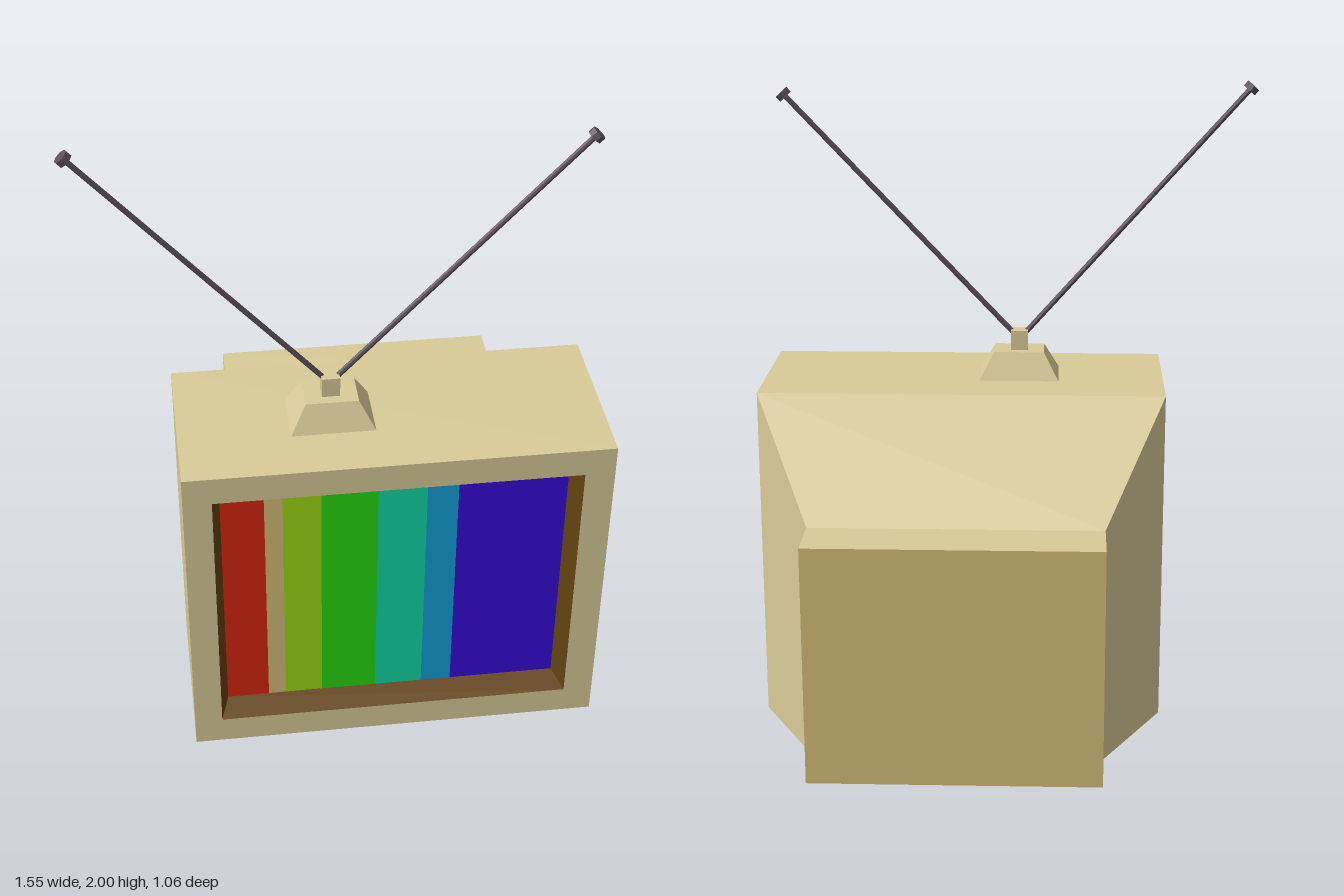
import * as THREE from 'three';

const paint = (name, color) => {
  const m = new THREE.MeshStandardMaterial({ color });
  m.name = name;
  return m;
};

// Rectangular section: x0, x1, y0, y1 at depth z, corners counter-clockwise from +z
const rect = (x0, x1, y0, y1, z) =>
  [[x0, y0, z], [x1, y0, z], [x1, y1, z], [x0, y1, z]];

// Flat-sided skin through sections listed from high z to low z
function loft(sections, capFront = false) {
  const pos = [];
  const quad = (a, b, c, d) => pos.push(...a, ...b, ...c, ...a, ...c, ...d);
  for (let s = 0; s < sections.length - 1; s++) {
    const f = sections[s], b = sections[s + 1];
    for (let i = 0; i < 4; i++) {
      const j = (i + 1) % 4;
      quad(f[i], b[i], b[j], f[j]);
    }
  }
  if (capFront) quad(...sections[0]);
  const g = new THREE.BufferGeometry();
  g.setAttribute('position', new THREE.Float32BufferAttribute(pos, 3));
  g.computeVertexNormals();
  return g;
}

export function createModel() {
  const model = new THREE.Group();
  model.name = 'television';
  const cream = paint('cream plastic', 0xd9cb98);
  const tan = paint('tan', 0xd6bd78);
  const brown = paint('dark brown', 0x634210);
  const metal = paint('dark metal', 0x5a5058);

  const add = (name, geometry, material, parent = model) => {
    const mesh = new THREE.Mesh(geometry, material);
    mesh.name = name;
    parent.add(mesh);
    return mesh;
  };

  // Cabinet: straight front, tapered middle and rear box
  const X0 = -0.5, X1 = 0.77, H = 1.065, Z = 0.528;
  add('cabinet', loft([
    rect(X0, X1, 0, H, Z),
    rect(X0, X1, 0, H, 0),
    rect(-0.312, 0.578, 0, 0.748, -0.35),
    rect(-0.312, 0.578, 0, 0.748, -Z),
  ]), cream);
  const back = add('backPanel', new THREE.PlaneGeometry(0.89, 0.748), tan);
  back.rotation.y = Math.PI;
  back.position.set(0.133, 0.374, -Z);

  // Front face with the screen opening
  const path = (P, x0, x1, y0, y1) =>
    new P([[x0, y0], [x1, y0], [x1, y1], [x0, y1]].map(p => new THREE.Vector2(...p)));
  const face = path(THREE.Shape, X0, X1, 0, H);
  const opening = [-0.415, 0.68, 0.09, 0.975];
  const inner = [-0.39, 0.652, 0.113, 0.953];
  face.holes.push(path(THREE.Path, ...opening));
  add('frontFace', new THREE.ShapeGeometry(face), cream).position.z = Z;

  // Recessed bezel, facing inward
  const zs = Z - 0.075;
  add('bezel', loft([rect(...inner, zs), rect(...opening, Z)]), brown);

  // Coloured screen bars
  const screen = new THREE.Group();
  screen.name = 'screen';
  model.add(screen);
  const bars = [
    ['red', -0.26, paint('red', 0xd82510)],
    ['tan', -0.205, tan],
    ['lime', -0.09, paint('lime', 0x9ad812)],
    ['green', 0.08, paint('green', 0x25d810)],
    ['teal', 0.228, paint('teal', 0x10d8a4)],
    ['blue', 0.322, paint('blue', 0x109fd8)],
    ['indigo', inner[1], paint('indigo', 0x360cd8)],
  ];
  let x = inner[0];
  for (const [name, end, material] of bars) {
    const bar = add(name + 'Bar', new THREE.PlaneGeometry(end - x, inner[3] - inner[2]), material, screen);
    bar.position.set((x + end) / 2, (inner[2] + inner[3]) / 2, zs);
    x = end;
  }

  // Antenna foot and post
  const AX = -0.041, AZ = 0.262;
  const foot = loft([
    rect(-0.079, 0.079, -0.058, 0.058, 1.15),
    rect(-0.126, 0.126, -0.095, 0.095, H),
  ], true).rotateX(-Math.PI / 2);
  add('antennaFoot', foot, cream).position.set(AX, 0, AZ);
  add('antennaPost', new THREE.BoxGeometry(0.054, 0.065, 0.054), cream).position.set(AX, 1.18, AZ);

  // Antenna rods with knobs
  const up = new THREE.Vector3(0, 1, 0);
  for (const [side, sx, tx, ty] of [['right', -0.05, -0.755, 1.982], ['left', -0.032, 0.695, 1.957]]) {
    const start = new THREE.Vector3(sx, 1.19, AZ), tip = new THREE.Vector3(tx, ty, AZ);
    const dir = tip.clone().sub(start);
    const length = dir.length();
    const rod = new THREE.Group();
    rod.name = side + 'Antenna';
    rod.position.copy(start);
    rod.quaternion.setFromUnitVectors(up, dir.normalize());
    model.add(rod);
    const cyl = (r, h, y, name) => add(name, new THREE.CylinderGeometry(r, r, h, 8).toNonIndexed(), metal, rod).position.y = y;
    cyl(0.0085, length, length / 2, 'rod');
    cyl(0.023, 0.02, length, 'knob');
    rod.children.forEach(m => m.geometry.computeVertexNormals());
  }
  return model;
}
